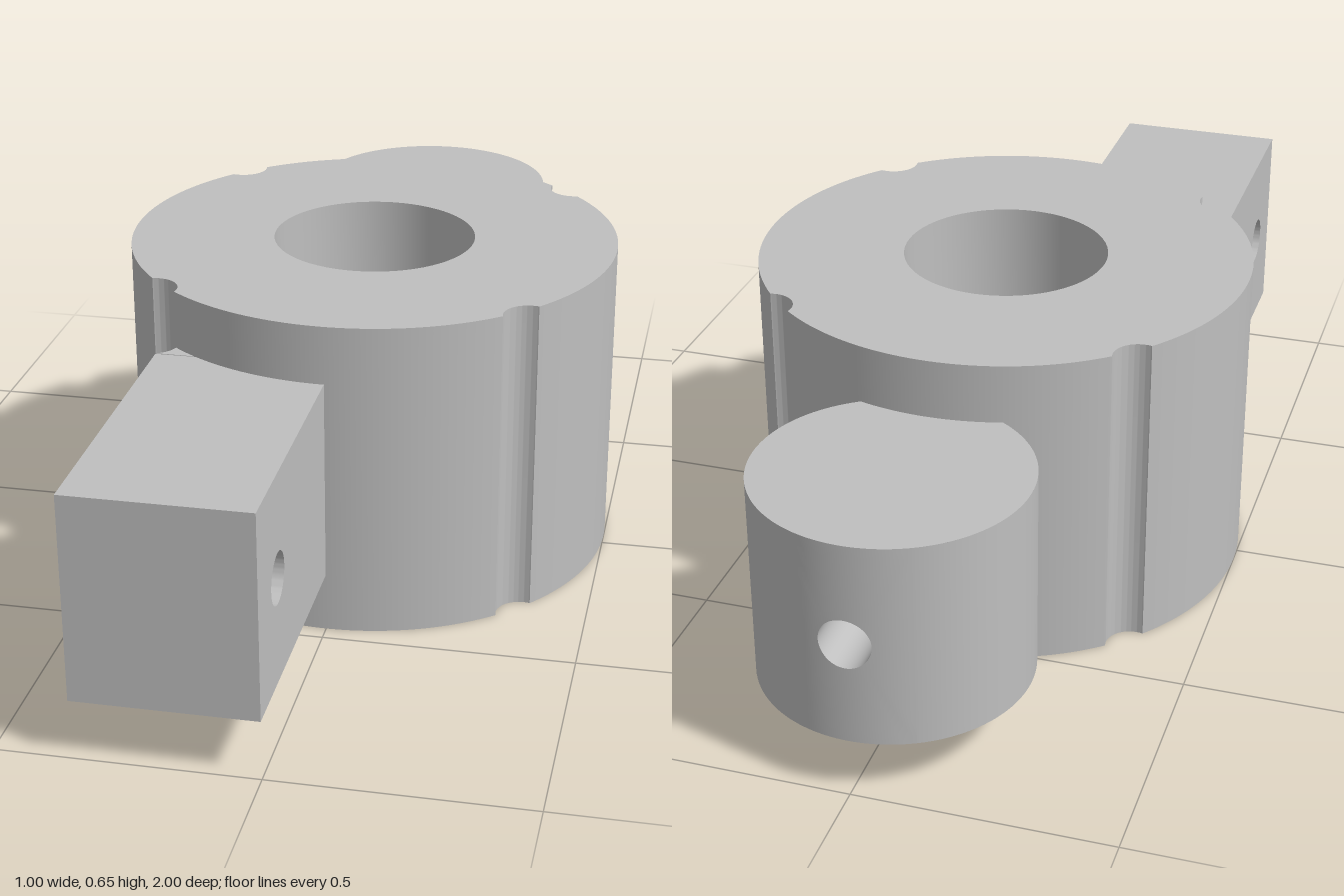
import * as THREE from 'three';
import { toCreasedNormals } from 'three/addons/utils/BufferGeometryUtils.js';

const RING_R = 0.5, BORE_R = 0.207, RING_Z = -0.035, RING_H = 0.648;
const GROOVE_R = 0.05, GROOVE_C = 0.37; // groove centres sit at (+-C, +-C) from the ring axis
const Y0 = 0.12, Y1 = 0.53, HOLE_Y = 0.327, HOLE_R = 0.05;
const BOSS_R = 0.263, BOSS_Z = -0.737;

// Extrude a plan shape (x, z) upward from y0 to y1
function extrudePlan(shape, y0, y1) {
  const g = new THREE.ExtrudeGeometry(shape, { depth: y1 - y0, bevelEnabled: false, curveSegments: 32 });
  g.rotateX(Math.PI / 2).translate(0, y1, 0);
  return toCreasedNormals(g, 0.5);
}

// Surface through closed loops: point(row, t) gives [x, y, z]
function loft(rows, segs, point) {
  const pos = [], idx = [];
  for (let j = 0; j <= rows; j++)
    for (let i = 0; i < segs; i++) pos.push(...point(j / rows, (i / segs) * Math.PI * 2));
  for (let j = 0; j < rows; j++)
    for (let i = 0; i < segs; i++) {
      const k = (i + 1) % segs;
      const a = j * segs + i, b = a + segs, c = (j + 1) * segs + k, d = j * segs + k;
      idx.push(a, b, c, a, c, d);
    }
  const g = new THREE.BufferGeometry();
  g.setAttribute('position', new THREE.Float32BufferAttribute(pos, 3));
  g.setIndex(idx);
  g.computeVertexNormals();
  return g;
}

export function createModel() {
  const model = new THREE.Group();
  model.name = 'mountingRing';
  const grey = new THREE.MeshStandardMaterial({ color: 0xbfbfbf });
  grey.name = 'plain grey';
  const add = (parent, name, geometry) => {
    const mesh = new THREE.Mesh(geometry, grey);
    mesh.name = name;
    parent.add(mesh);
    return mesh;
  };

  // Ring with a central bore and four rounded grooves
  const d = GROOVE_C * Math.SQRT2;
  const a = (d * d + RING_R ** 2 - GROOVE_R ** 2) / (2 * d);
  const half = Math.acos(a / RING_R);
  const beta = Math.atan2(RING_R * Math.sin(half), a - d);
  const outline = new THREE.Shape();
  for (let k = 0; k < 4; k++) {
    const mid = Math.PI / 4 + (k * Math.PI) / 2;
    outline.absarc(d * Math.cos(mid), d * Math.sin(mid), GROOVE_R, mid - beta, mid + beta, true);
    outline.absarc(0, 0, RING_R, mid + half, mid + Math.PI / 2 - half, false);
  }
  outline.holes.push(new THREE.Path().absarc(0, 0, BORE_R, 0, Math.PI * 2, true));
  add(model, 'ring', extrudePlan(outline, 0, RING_H)).position.z = RING_Z;

  // Square arm: drilled outer block, plus a root trimmed by the groove
  const arm = new THREE.Group();
  arm.name = 'arm';
  model.add(arm);
  const W = 0.353, SPLIT = 0.385;
  const side = new THREE.Shape();
  side.moveTo(SPLIT, Y0).lineTo(1, Y0).lineTo(1, Y1).lineTo(SPLIT, Y1).closePath();
  side.holes.push(new THREE.Path().absarc(0.855, HOLE_Y, HOLE_R, 0, Math.PI * 2, true));
  const block = new THREE.ExtrudeGeometry(side, { depth: W, bevelEnabled: false, curveSegments: 32 });
  block.rotateY(-Math.PI / 2);
  add(arm, 'armBlock', toCreasedNormals(block, 0.5));

  const root = new THREE.Shape();
  root.moveTo(-W, SPLIT);
  root.absarc(-GROOVE_C, GROOVE_C + RING_Z, GROOVE_R, Math.acos((GROOVE_C - W) / GROOVE_R), 0, true);
  root.lineTo(-0.25, 0.3).lineTo(0, 0.3).lineTo(0, SPLIT).closePath();
  add(arm, 'armRoot', extrudePlan(root, Y0, Y1));

  // Round boss: plain wall, end faces, and a wall panel pierced by the hole
  const boss = new THREE.Group();
  boss.name = 'boss';
  boss.position.z = BOSS_Z;
  model.add(boss);
  const midY = (Y0 + Y1) / 2, panelX = 0.12, alpha = Math.asin(panelX / BOSS_R);
  const wall = new THREE.CylinderGeometry(BOSS_R, BOSS_R, Y1 - Y0, 96, 1, true,
    Math.PI + alpha, 2 * (Math.PI - alpha));
  add(boss, 'bossWall', wall.translate(0, midY, 0));
  for (const [name, turn, y] of [['bossTop', -1, Y1], ['bossBottom', 1, Y0]]) {
    const cap = new THREE.CircleGeometry(BOSS_R, 128);
    add(boss, name, cap.rotateX((turn * Math.PI) / 2).translate(0, y, 0));
  }
  const surfaceZ = (x) => -Math.sqrt(BOSS_R ** 2 - x * x);
  add(boss, 'bossPanel', loft(8, 64, (v, t) => {
    const c = Math.cos(t), s = Math.sin(t), m = Math.max(Math.abs(c), Math.abs(s));
    const x = THREE.MathUtils.lerp((c / m) * panelX, c * HOLE_R, v);
    const y = THREE.MathUtils.lerp(midY + ((s / m) * (Y1 - Y0)) / 2, HOLE_Y + s * HOLE_R, v);
    return [x, y, surfaceZ(x)];
  }));

  // Hole lining, running back to the ring
  add(boss, 'bossHole', loft(1, 64, (v, t) => {
    const x = HOLE_R * Math.cos(t);
    return [x, HOLE_Y + HOLE_R * Math.sin(t), THREE.MathUtils.lerp(surfaceZ(x), 0.23, v)];
  }));

  return model;
}
